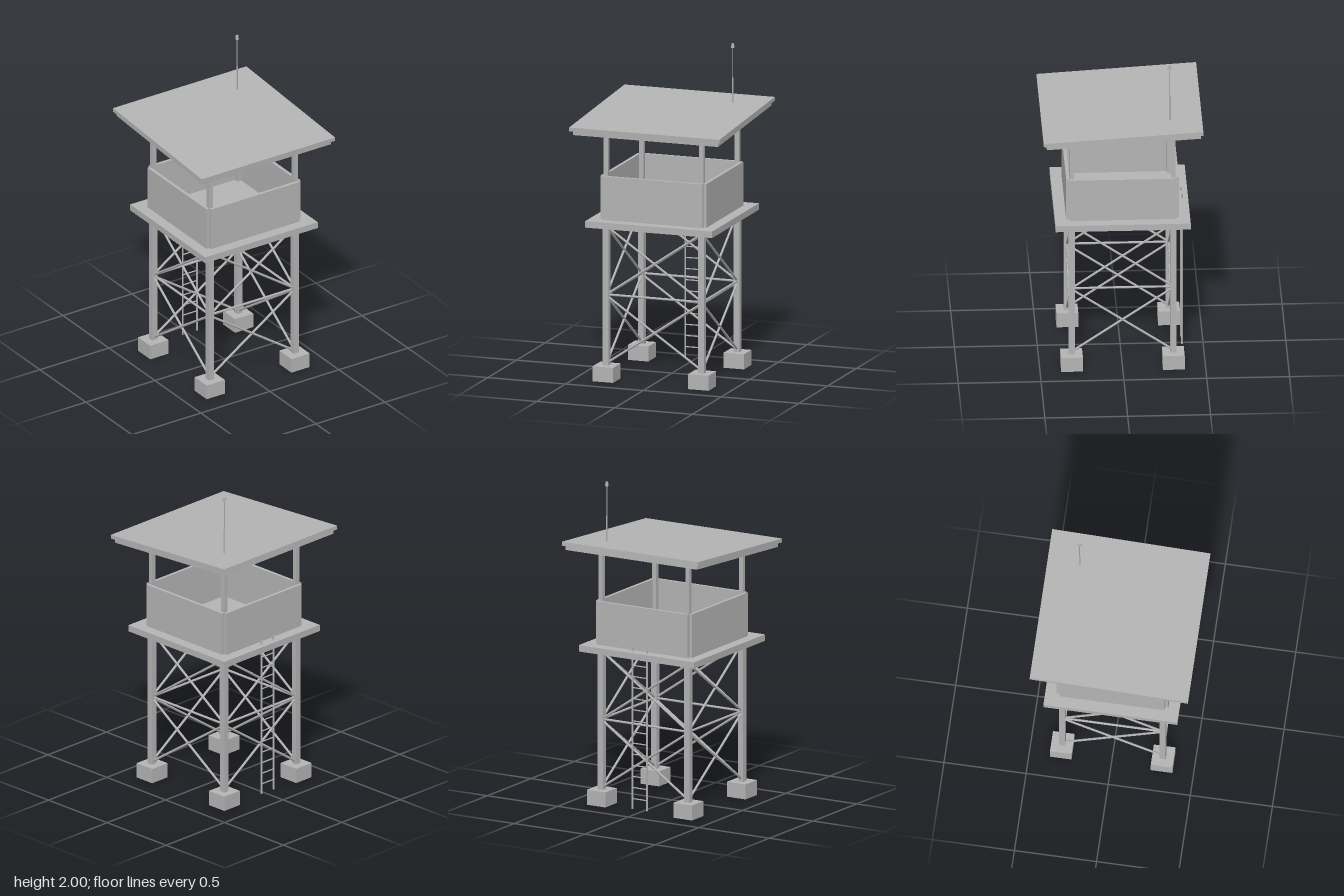
import * as THREE from 'three';

const UP = new THREE.Vector3(0, 1, 0);

export function createModel() {
  const model = new THREE.Group();
  model.name = 'watchtower';
  const grey = new THREE.MeshStandardMaterial({ color: 0xb4b4b4 });
  grey.name = 'plain grey';

  function add(parent, name, geometry, x = 0, y = 0, z = 0) {
    const mesh = new THREE.Mesh(geometry, grey);
    mesh.name = name;
    mesh.position.set(x, y, z);
    parent.add(mesh);
    return mesh;
  }
  const box = (parent, name, w, h, d, x, y, z) =>
    add(parent, name, new THREE.BoxGeometry(w, h, d), x, y, z);

  // Round bar between two points
  function bar(parent, name, a, b, radius, sides = 8) {
    const from = new THREE.Vector3(...a), to = new THREE.Vector3(...b);
    const dir = to.clone().sub(from);
    const mesh = add(parent, name, new THREE.CylinderGeometry(radius, radius, dir.length(), sides));
    mesh.position.copy(from).add(to).multiplyScalar(0.5);
    mesh.quaternion.setFromUnitVectors(UP, dir.normalize());
    return mesh;
  }

  // Footings, legs and roof posts at the four corners
  const c = 0.307;
  for (const sx of [-1, 1]) {
    for (const sz of [-1, 1]) {
      const x = sx * c, z = sz * c;
      box(model, 'footing', 0.132, 0.093, 0.132, x, 0.0465, z);
      box(model, 'leg', 0.037, 0.875, 0.037, x, 0.525, z);
      const top = 1.57 - 0.0606 * z;
      box(model, 'roofPost', 0.028, top - 0.99, 0.028, x, (top + 0.99) / 2, z);
    }
  }

  // Bracing frame and parapet wall, repeated on each side
  for (let i = 0; i < 4; i++) {
    const side = new THREE.Group();
    side.name = 'towerSide';
    side.rotation.y = i * Math.PI / 2;
    const e = 0.295;
    for (const [y0, y1] of [[0.112, 0.513], [0.537, 0.942]]) {
      bar(side, 'crossBrace', [-e, y0, c], [e, y1, c], 0.0075);
      bar(side, 'crossBrace', [e, y0, c], [-e, y1, c], 0.0075);
    }
    for (const y of [0.528, 0.948]) bar(side, 'horizontalBrace', [-e, y, c], [e, y, c], 0.0075);
    box(side, 'parapetWall', 0.64, 0.27, 0.02, 0, 1.13, 0.33);
    model.add(side);
  }

  // Platform deck
  box(model, 'platform', 0.816, 0.04, 0.816, 0, 0.975, 0);

  // Ladder at the back
  const ladder = new THREE.Group();
  ladder.name = 'ladder';
  for (const x of [-0.052, 0.052]) bar(ladder, 'ladderRail', [x, 0.016, -0.37], [x, 1.02, -0.37], 0.006);
  for (let i = 0; i < 13; i++) {
    const y = 0.08 + i * 0.069;
    bar(ladder, 'ladderRung', [-0.052, y, -0.37], [0.052, y, -0.37], 0.004, 6);
  }
  model.add(ladder);

  // Sloping roof, higher at the back
  const roof = new THREE.Group();
  roof.name = 'roof';
  roof.position.y = 1.59;
  roof.rotation.x = 0.0605;
  box(roof, 'roofSheet', 0.966, 0.024, 0.966, 0, 0.012, 0);
  box(roof, 'roofFrame', 0.932, 0.027, 0.932, 0, -0.0135, 0);
  model.add(roof);

  // Antenna with a thicker base and a capped tip
  const a = 0.285;
  bar(model, 'antennaBase', [a, 1.62, -a], [a, 1.79, -a], 0.0045);
  bar(model, 'antennaMast', [a, 1.78, -a], [a, 1.98, -a], 0.003);
  add(model, 'antennaTip', new THREE.CylinderGeometry(0.008, 0.011, 0.026, 12), a, 1.987, -a);

  return model;
}
